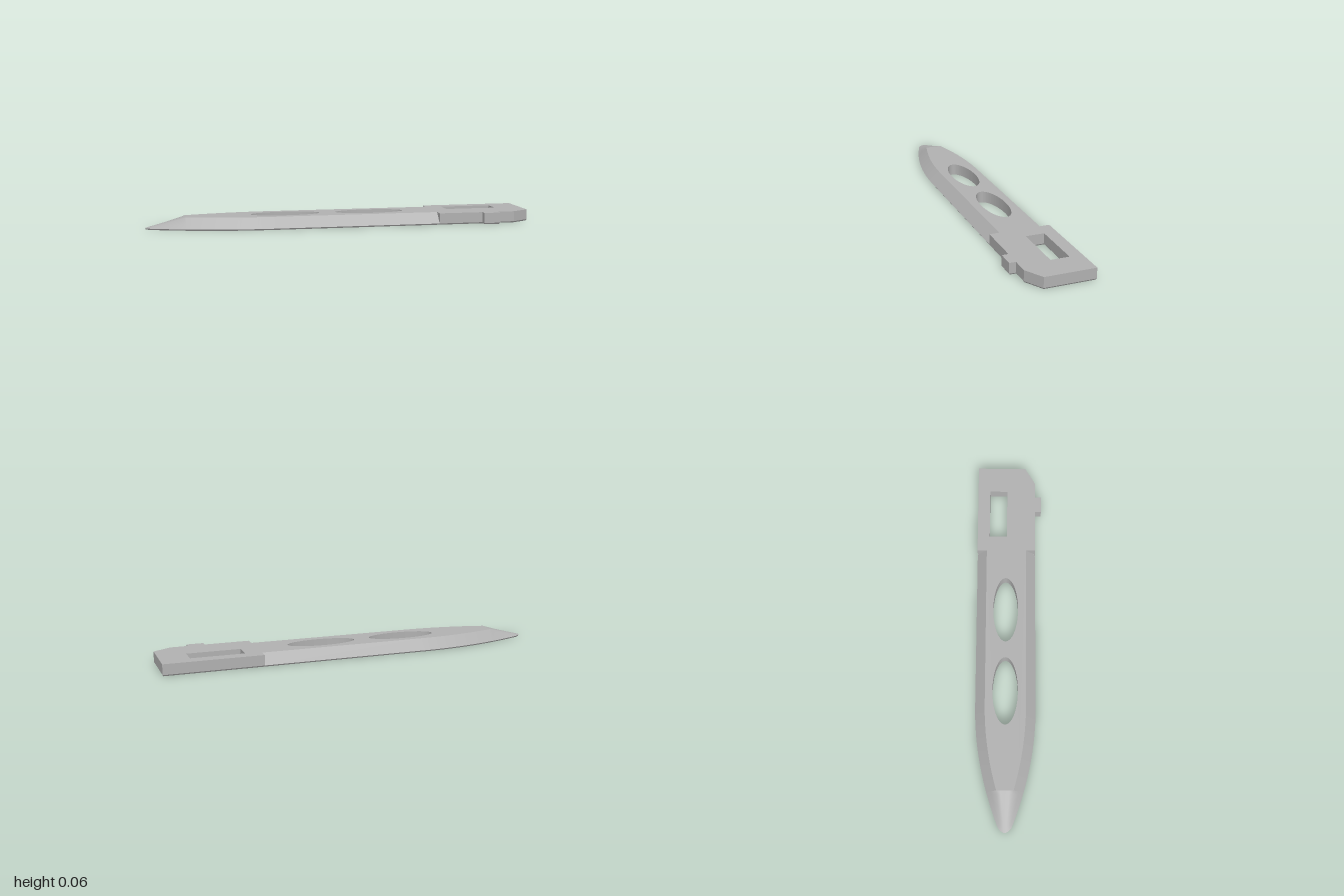
import * as THREE from 'three';
import { mergeGeometries } from 'three/addons/utils/BufferGeometryUtils.js';

const TOP = 0.06, EDGE = 0.007, CHAMFER = 0.005; // thickness, edge height, lower chamfer
const MID = -0.0165, HALF = 0.155;               // centre line in z, half width
const SHOULDER = -0.8, JOINT = 0.5;              // ramp start, blade-to-handle joint
const BEVEL = 0.05;

// Half width of the blade outline at x, with a rounded point
function halfWidth(x) {
  let w = HALF - 0.32 * Math.min(0, x + 0.36) ** 2;
  if (x < -0.97) w *= Math.sqrt(Math.max(0, 1 - ((-0.97 - x) / 0.03) ** 2));
  return w;
}

// Surface through rows of [x, y, z] points
function grid(rows) {
  const n = rows[0].length, index = [];
  for (let i = 0; i < rows.length - 1; i++) {
    for (let j = 0; j < n - 1; j++) {
      const a = i * n + j;
      index.push(a, a + 1, a + n, a + 1, a + n + 1, a + n);
    }
  }
  const g = new THREE.BufferGeometry();
  g.setAttribute('position', new THREE.Float32BufferAttribute(rows.flat(2), 3));
  g.setIndex(index);
  g.computeVertexNormals();
  return g;
}

// Each strip joins two points of a section, given as [offset from centre, y]
const strip = (xs, from, to) => grid(xs.map((x) =>
  [from(x), to(x)].map(([z, y]) => [x, y, MID + z])));

// Plan shape drawn in x and z, extruded down from y = top
function plate(shape, top, depth, options = {}) {
  const g = new THREE.ExtrudeGeometry(shape, { depth, bevelEnabled: false, curveSegments: 32, ...options });
  return g.rotateX(Math.PI / 2).translate(0, top, 0);
}

const polygon = (points) => new THREE.Shape(points.map(([x, z]) => new THREE.Vector2(x, z)));

export function createModel() {
  const model = new THREE.Group();
  const gray = new THREE.MeshStandardMaterial({ color: 0xb0b0b0 });
  gray.name = 'gray';
  const add = (name, geometry) => {
    const mesh = new THREE.Mesh(geometry, gray);
    mesh.name = name;
    model.add(mesh);
  };

  const bladeXs = [];
  for (let i = 0; i <= 20; i++) bladeXs.push(SHOULDER + (i / 20) * (-0.36 - SHOULDER));
  bladeXs.push(JOINT);

  // Flat middle of the blade with two oval holes
  const inner = (x) => halfWidth(x) - BEVEL;
  const core = polygon([
    ...bladeXs.map((x) => [x, MID - inner(x)]),
    ...[...bladeXs].reverse().map((x) => [x, MID + inner(x)]),
  ]);
  for (const x of [-0.287, 0.158]) {
    core.holes.push(new THREE.Path().absellipse(x, -0.018, 0.179, 0.065, 0, Math.PI * 2));
  }
  add('bladeCore', plate(core, TOP, TOP));

  // Section points, s is the side
  const edge = (s) => (x) => [s * halfWidth(x), EDGE];
  const foot = (s) => (x) => [s * Math.max(0, halfWidth(x) - CHAMFER), 0];
  const crest = (s) => (x) => [s * inner(x), TOP];
  const under = (s) => (x) => [s * inner(x), 0];

  // Bevelled edges along both sides of the blade
  for (const [name, s] of [['frontBevel', 1], ['backBevel', -1]]) {
    const pairs = [[crest(s), edge(s)], [edge(s), foot(s)], [foot(s), under(s)]];
    add(name, mergeGeometries(pairs.map(([a, b]) =>
      s > 0 ? strip(bladeXs, a, b) : strip(bladeXs, b, a))));
  }

  // Rounded point, ramping up from the tip to the flat top
  const tipXs = [];
  for (let i = 0; i <= 24; i++) tipXs.push(-1 + 0.2 * (i / 24) ** 2);
  const across = [-1, -0.73, -0.462, -0.23, 0, 0.23, 0.462, 0.73, 1];
  const dome = grid(tipXs.map((x) => {
    const s = (x + 1) / 0.2, w = halfWidth(x);
    return across.map((c) => {
      const flat = Math.min(1, (1 - Math.abs(c)) / 0.538);
      const arch = THREE.MathUtils.lerp(1 - c * c, flat, s);
      return [x, EDGE + (TOP - EDGE) * s * arch, MID + w * c];
    });
  }));
  add('bladeTip', mergeGeometries([
    dome,
    strip(tipXs, edge(1), foot(1)),
    strip(tipXs, foot(1), foot(-1)),
    strip(tipXs, foot(-1), edge(-1)),
  ]));

  // Handle with a cut corner, a small lug and a rectangular slot
  const handle = (start) => {
    const shape = polygon([
      [start, MID - HALF], [1, MID - HALF], [1, 0.085], [0.908, MID + HALF],
      [0.82, MID + HALF], [0.82, 0.171], [0.733, 0.171], [0.733, MID + HALF], [start, MID + HALF],
    ]);
    shape.holes.push(polygon([[0.583, -0.107], [0.583, -0.013], [0.856, -0.013], [0.856, -0.107]]));
    return shape;
  };
  add('handle', plate(handle(JOINT), TOP, TOP - EDGE));

  // Chamfered underside of the handle
  add('handleUnderside', plate(handle(JOINT - 0.01), EDGE + 0.0005, 0.0005, {
    bevelEnabled: true, bevelSegments: 1, bevelSize: CHAMFER, bevelOffset: -CHAMFER, bevelThickness: EDGE,
  }));

  return model;
}
